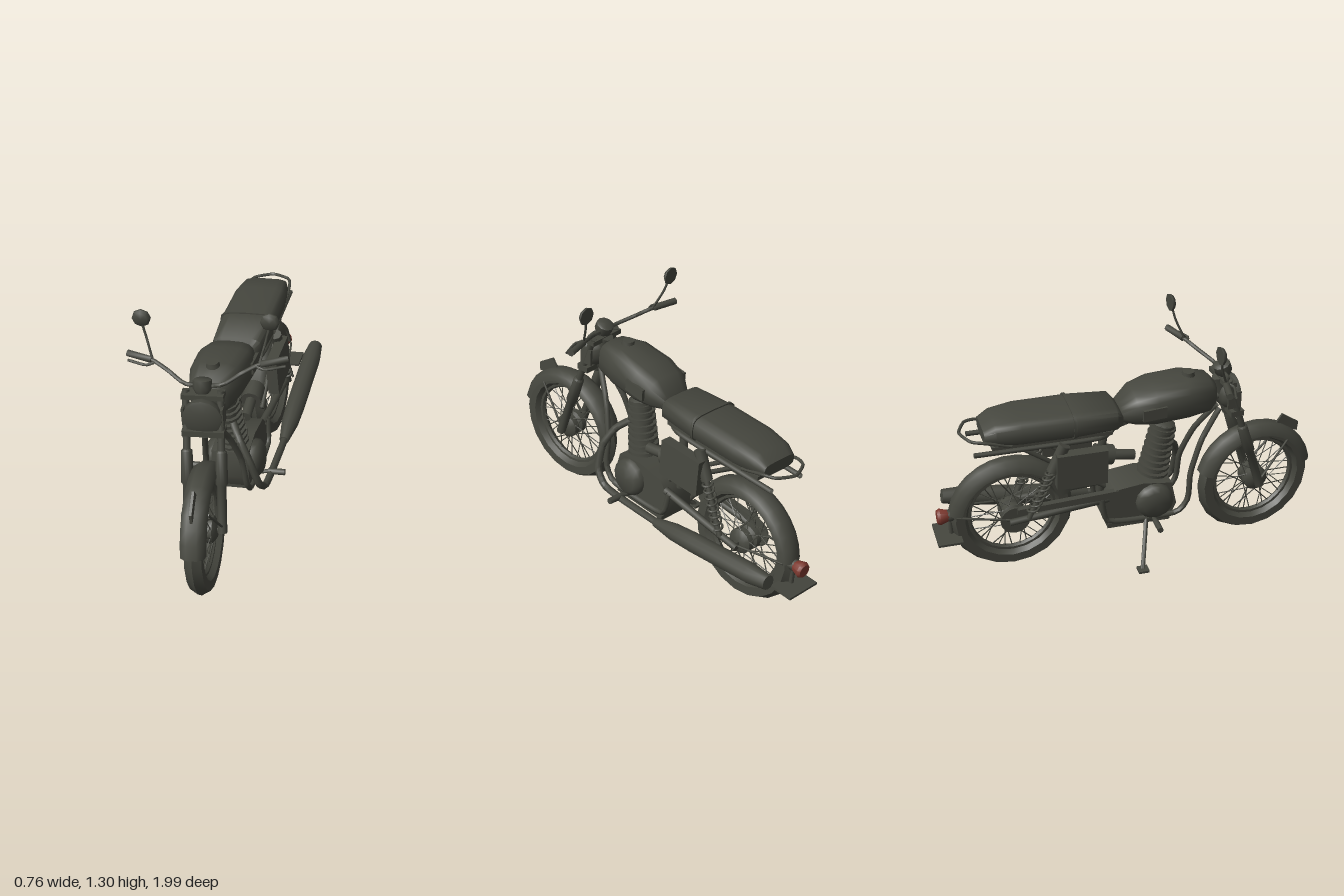
import * as THREE from 'three';
import { mergeGeometries, toCreasedNormals } from 'three/addons/utils/BufferGeometryUtils.js';

const paint = new THREE.MeshStandardMaterial({ color: 0x45463e, side: THREE.DoubleSide });
paint.name = 'darkOlive';
const red = new THREE.MeshStandardMaterial({ color: 0x7c382e });
red.name = 'lampRed';

const V = (p) => new THREE.Vector3(...p);
const flip = ([x, y, z], s) => [x * s, y, z];

function add(parent, name, geo, mat = paint) {
  const mesh = new THREE.Mesh(toCreasedNormals(geo, 0.9), mat);
  mesh.name = name;
  parent.add(mesh);
  return mesh;
}
// Turned part from a to b; profile holds [radius, fraction along the axis]
function turned(a, b, profile, sides = 10) {
  const d = V(b).sub(V(a)), len = d.length();
  const g = new THREE.LatheGeometry(profile.map(([r, t]) => new THREE.Vector2(r, t * len)), sides);
  g.applyQuaternion(new THREE.Quaternion().setFromUnitVectors(new THREE.Vector3(0, 1, 0), d.normalize()));
  return g.translate(...a);
}
const bar = (a, b, r, r2 = r, sides = 8) => turned(a, b, [[0, 0], [r, 0], [r2, 1], [0, 1]], sides);
function tube(pts, r, seg = 20, tension = 0.3) {
  const curve = new THREE.CatmullRomCurve3(pts.map(V), false, 'catmullrom', tension);
  return new THREE.TubeGeometry(curve, seg, r, 7);
}
const box = (w, h, d, x, y, z) => new THREE.BoxGeometry(w, h, d).translate(x, y, z);
// Side outline of [z, y] points, extruded across x
function slab(pts, width, x = 0) {
  const s = new THREE.Shape(pts.map(([z, y]) => new THREE.Vector2(z, y)));
  return new THREE.ExtrudeGeometry(s, { depth: width, bevelEnabled: false })
    .translate(0, 0, -width / 2).rotateY(-Math.PI / 2).translate(x, 0, 0);
}
// Skin over rounded sections [z, halfWidth, bottom, top], front to back
function loft(sections, power, n = 16) {
  const pos = [], idx = [];
  const round = (v) => Math.sign(v) * Math.abs(v) ** power;
  for (const [z, w, y0, y1] of sections) for (let j = 0; j < n; j++) {
    const a = (j / n) * Math.PI * 2;
    pos.push(w * round(Math.cos(a)), (y0 + y1) / 2 + ((y1 - y0) / 2) * round(Math.sin(a)), z);
  }
  const last = (sections.length - 1) * n;
  for (const s of [sections[0], sections[sections.length - 1]]) pos.push(0, (s[2] + s[3]) / 2, s[0]);
  for (let j = 0; j < n; j++) {
    const k = (j + 1) % n;
    for (let i = 0; i < last; i += n) idx.push(i + j, i + n + j, i + k, i + k, i + n + j, i + n + k);
    idx.push(last + n, j, k, last + n + 1, last + k, last + j);
  }
  const g = new THREE.BufferGeometry();
  g.setAttribute('position', new THREE.Float32BufferAttribute(pos, 3));
  g.setIndex(idx);
  g.computeVertexNormals();
  return g;
}
// Curved mudguard, angles in degrees from straight ahead up and over
function mudguard(from, to) {
  const profile = [[0.265, -0.062], [0.3, -0.055], [0.32, -0.025], [0.32, 0.025], [0.3, 0.055], [0.265, 0.062]];
  const rad = Math.PI / 180;
  return new THREE.LatheGeometry(profile.map((p) => new THREE.Vector2(...p)), 12, -to * rad, (to - from) * rad)
    .rotateZ(-Math.PI / 2);
}
function wheel(parent, name, y, z) {
  const g = new THREE.Group();
  g.name = name;
  g.position.set(0, y, z);
  parent.add(g);
  add(g, 'tire', new THREE.TorusGeometry(0.268, 0.047, 6, 20).rotateY(Math.PI / 2));
  add(g, 'rim', new THREE.TorusGeometry(0.223, 0.016, 6, 24).rotateY(Math.PI / 2));
  add(g, 'hub', turned([-0.06, 0, 0], [0.06, 0, 0],
    [[0, 0], [0.04, 0], [0.065, 0.15], [0.065, 0.4], [0.045, 0.5], [0.065, 0.6], [0.065, 0.85], [0.04, 1], [0, 1]], 14));
  add(g, 'axle', bar([-0.1, 0, 0], [0.1, 0, 0], 0.014));
  const spokes = [];
  for (let i = 0; i < 36; i++) {
    const a = (i / 36) * Math.PI * 2, b = a + (i % 4 < 2 ? 0.75 : -0.75), x = i % 2 ? 0.04 : -0.04;
    spokes.push(bar([x, Math.sin(b) * 0.055, Math.cos(b) * 0.055], [0, Math.sin(a) * 0.22, Math.cos(a) * 0.22], 0.003, 0.003, 4));
  }
  add(g, 'spokes', mergeGeometries(spokes));
  return g;
}

function buildSteering(bike) {
  // Front end turns slightly about the fork axis
  const pivot = new THREE.Group(), g = new THREE.Group();
  pivot.name = 'steering';
  pivot.position.set(0, 0.95, 0.47);
  pivot.quaternion.setFromAxisAngle(new THREE.Vector3(0, 0.64, -0.21).normalize(), 0.09);
  g.name = 'frontEnd';
  g.position.set(0, -0.95, -0.47);
  pivot.add(g);
  bike.add(pivot);

  const front = wheel(g, 'frontWheel', 0.315, 0.68);
  add(front, 'frontMudguard', mudguard(12, 165));
  add(g, 'frontPlate', slab([[0.79, 0.6], [0.92, 0.54], [0.925, 0.59], [0.83, 0.655]], 0.012));
  add(g, 'upperClamp', box(0.2, 0.025, 0.06, 0, 0.94, 0.475));
  add(g, 'lowerClamp', box(0.2, 0.03, 0.07, 0, 0.77, 0.52));
  add(g, 'headlight', turned([0, 0.85, 0.45], [0, 0.85, 0.555],
    [[0, 0], [0.055, 0.05], [0.085, 0.4], [0.093, 0.65], [0.093, 0.85], [0.08, 0.9], [0.04, 1], [0, 1]], 14));
  add(g, 'speedometer', turned([0, 0.955, 0.485], [0, 1.02, 0.46],
    [[0, 0], [0.03, 0], [0.045, 0.35], [0.045, 0.9], [0.035, 1], [0, 1]], 10));
  const half = [[0.08, 0.985, 0.46], [0.17, 1.02, 0.41], [0.25, 1.048, 0.37], [0.36, 1.055, 0.335]];
  add(g, 'handlebar', tube([...half.map((p) => flip(p, -1)).reverse(), ...half], 0.01, 30));
  for (const s of [1, -1]) {
    const m = (p) => flip(p, s);
    add(g, 'forkUpper', bar(m([0.082, 0.96, 0.467]), m([0.082, 0.6, 0.585]), 0.018));
    add(g, 'forkLower', turned(m([0.082, 0.3, 0.683]), m([0.082, 0.7, 0.552]),
      [[0, 0], [0.024, 0], [0.022, 0.55], [0.03, 0.58], [0.027, 0.95], [0, 1]]));
    add(g, 'mudguardStay', bar(m([0.085, 0.33, 0.68]), m([0.06, 0.53, 0.84]), 0.006));
    add(g, 'headlightBracket', box(0.012, 0.09, 0.07, s * 0.092, 0.85, 0.5));
    add(g, 'grip', bar(m([0.255, 1.049, 0.368]), m([0.378, 1.057, 0.33]), 0.017));
    add(g, 'lever', tube([[0.24, 1.045, 0.385], [0.28, 1.04, 0.4], [0.37, 1.04, 0.365]].map(m), 0.007, 8));
    add(g, 'mirrorStem', tube([[0.25, 1.05, 0.37], [0.28, 1.15, 0.33], [0.298, 1.22, 0.315]].map(m), 0.006, 8));
    add(g, 'mirror', turned(m([0.3, 1.238, 0.303]), m([0.3, 1.238, 0.325]),
      [[0, 0], [0.045, 0], [0.045, 0.4], [0.032, 1], [0, 1]], 8));
  }
}

function buildBody(bike) {
  add(bike, 'fuelTank', loft([[0.425, 0.065, 0.81, 0.93], [0.39, 0.1, 0.785, 0.965], [0.27, 0.13, 0.775, 0.985],
    [0.1, 0.142, 0.77, 0.965], [0, 0.12, 0.775, 0.935], [-0.07, 0.08, 0.79, 0.87]], 0.65));
  add(bike, 'fuelCap', bar([0, 0.975, 0.29], [0, 1.0, 0.29], 0.034, 0.03, 12));
  add(bike, 'seat', loft([[-0.065, 0.09, 0.785, 0.85], [-0.1, 0.125, 0.775, 0.89], [-0.3, 0.137, 0.77, 0.9],
    [-0.58, 0.134, 0.77, 0.9], [-0.7, 0.118, 0.775, 0.885], [-0.755, 0.1, 0.785, 0.85]], 0.5));
  add(bike, 'seatStrap', loft([[-0.31, 0.143, 0.765, 0.907], [-0.325, 0.143, 0.765, 0.907]], 0.5));
  const rail = [[0.115, 0.78, -0.63], [0.112, 0.815, -0.76], [0.09, 0.82, -0.82]];
  add(bike, 'grabRail', tube([...rail, [0, 0.82, -0.86], ...rail.map((p) => flip(p, -1)).reverse()], 0.008, 36));
  // Rear mudguard, lamp and plate
  add(bike, 'rearMudguard', mudguard(20, 172).translate(0, 0.315, -0.61));
  add(bike, 'tailLampBase', bar([0, 0.345, -0.9], [0, 0.345, -0.935], 0.03));
  add(bike, 'tailLamp', turned([0, 0.345, -0.93], [0, 0.345, -0.988],
    [[0, 0], [0.028, 0], [0.042, 0.75], [0.034, 1], [0, 1]], 10), red);
  add(bike, 'rearPlate', box(0.19, 0.012, 0.125, 0, 0.233, -0.938));
  add(bike, 'plateBracket', bar([0, 0.33, -0.92], [0, 0.235, -0.92], 0.012));
  for (const s of [1, -1]) {
    add(bike, 'sidePanel', box(0.055, 0.19, 0.255, s * 0.147, 0.62, -0.29));
    add(bike, 'tankPad', slab([[0.14, 0.9], [0.14, 0.84], [0.02, 0.83], [0.02, 0.89]], 0.016, s * 0.138));
  }
}

function buildEngine(bike) {
  add(bike, 'crankcase', slab([[0.2, 0.41], [0.05, 0.43], [-0.1, 0.41], [-0.15, 0.35], [-0.14, 0.21], [0.2, 0.21], [0.23, 0.28]], 0.19));
  add(bike, 'skidPlate', box(0.2, 0.025, 0.33, 0, 0.2, 0.03));
  for (const s of [1, -1]) {
    add(bike, 'engineCover', turned([s * 0.09, 0.32, 0.11], [s * 0.142, 0.32, 0.11],
      [[0, 0], [0.1, 0], [0.095, 0.6], [0.07, 1], [0, 1]], 14));
    add(bike, 'footPeg', bar([s * 0.08, 0.22, 0.1], [s * 0.17, 0.235, 0.1], 0.01));
    add(bike, 'footPegRubber', bar([s * 0.16, 0.235, 0.1], [s * 0.245, 0.235, 0.1], 0.016));
  }
  // Finned cylinder leaning forward
  const at = (t) => [0, 0.41 + 0.31 * t, 0.12 + 0.055 * t];
  add(bike, 'cylinder', bar(at(0), at(1), 0.058, 0.055, 12));
  for (let i = 0; i < 8; i++) {
    const t = 0.08 + i * 0.115;
    add(bike, 'coolingFin', bar(at(t), at(t + 0.045), 0.083 - 0.016 * t, 0.083 - 0.016 * t, 12));
  }
  add(bike, 'cylinderHead', turned(at(0.92), at(1.04), [[0, 0], [0.06, 0], [0.06, 0.6], [0.035, 1], [0, 1]], 10));
  add(bike, 'carburettor', bar([0.05, 0.515, 0.04], [0.05, 0.54, -0.1], 0.028));
  add(bike, 'airFilter', bar([0.05, 0.535, -0.075], [0.05, 0.555, -0.17], 0.052, 0.052, 12));
  // Exhaust on one side
  add(bike, 'exhaustPipe', tube([[0.03, 0.6, 0.19], [0.08, 0.53, 0.26], [0.13, 0.43, 0.295], [0.16, 0.3, 0.285],
    [0.17, 0.235, 0.22], [0.172, 0.225, 0.1], [0.178, 0.235, -0.2]], 0.019, 30));
  add(bike, 'muffler', turned([0.176, 0.232, -0.17], [0.186, 0.335, -0.93],
    [[0, 0], [0.024, 0], [0.045, 0.18], [0.05, 0.35], [0.05, 0.85], [0.036, 1], [0, 1]], 12));
  add(bike, 'kickstandLeg', bar([-0.1, 0.22, 0.07], [-0.285, 0.04, 0], 0.012));
  add(bike, 'kickstandFoot', box(0.05, 0.012, 0.055, -0.288, 0.038, 0).rotateZ(0));
}

function buildFrame(bike) {
  add(bike, 'steeringHead', bar([0, 0.95, 0.45], [0, 0.74, 0.52], 0.035, 0.035, 10));
  add(bike, 'backbone', tube([[0, 0.84, 0.46], [0, 0.8, 0.15], [0, 0.76, -0.03], [0, 0.69, -0.14], [0, 0.36, -0.15]], 0.022));
  add(bike, 'seatBase', box(0.2, 0.02, 0.6, 0, 0.765, -0.42));
  add(bike, 'chainGuard', slab([[-0.08, 0.41], [-0.08, 0.37], [-0.6, 0.355], [-0.6, 0.385]], 0.03, -0.085));
  add(bike, 'sprocket', bar([-0.085, 0.315, -0.61], [-0.075, 0.315, -0.61], 0.075, 0.075, 16));
  for (const s of [1, -1]) {
    const m = (p) => flip(p, s);
    add(bike, 'downTube', tube([[0.02, 0.77, 0.46], [0.06, 0.62, 0.36], [0.09, 0.45, 0.3], [0.1, 0.3, 0.29],
      [0.1, 0.225, 0.23], [0.1, 0.22, 0], [0.1, 0.24, -0.14], [0.1, 0.37, -0.17]].map(m), 0.015, 32));
    add(bike, 'seatRail', tube([[0.03, 0.74, -0.1], [0.1, 0.745, -0.2], [0.1, 0.745, -0.81]].map(m), 0.013));
    add(bike, 'rearStrut', bar(m([0.1, 0.745, -0.57]), m([0.08, 0.44, -0.15]), 0.012));
    add(bike, 'swingArm', bar(m([0.08, 0.36, -0.13]), m([0.095, 0.315, -0.64]), 0.02, 0.017));
    add(bike, 'mudguardStrut', bar(m([0.09, 0.32, -0.61]), m([0.055, 0.36, -0.9]), 0.006));
    // Rear shock with coil spring
    const top = V(m([0.125, 0.75, -0.37])), low = V(m([0.125, 0.35, -0.55]));
    add(bike, 'shockBody', bar(top.toArray(), low.toArray(), 0.014));
    add(bike, 'shockCover', bar(top.toArray(), top.clone().lerp(low, 0.35).toArray(), 0.03));
    const coil = [];
    for (let i = 0; i <= 64; i++) {
      const a = (i / 8) * Math.PI * 2, p = top.clone().lerp(low, 0.33 + 0.58 * (i / 64));
      coil.push([p.x + Math.cos(a) * 0.026, p.y, p.z + Math.sin(a) * 0.026]);
    }
    add(bike, 'shockSpring', tube(coil, 0.006, 96, 0.5));
  }
}

export function createModel() {
  const root = new THREE.Group(), bike = new THREE.Group();
  root.name = 'motorcycle';
  bike.name = 'leaningBike';
  // Rests to one side on its stand
  bike.position.x = 0.1;
  bike.rotation.z = 0.1;
  root.add(bike);
  wheel(bike, 'rearWheel', 0.315, -0.61);
  buildSteering(bike);
  buildBody(bike);
  buildEngine(bike);
  buildFrame(bike);
  return root;
}
